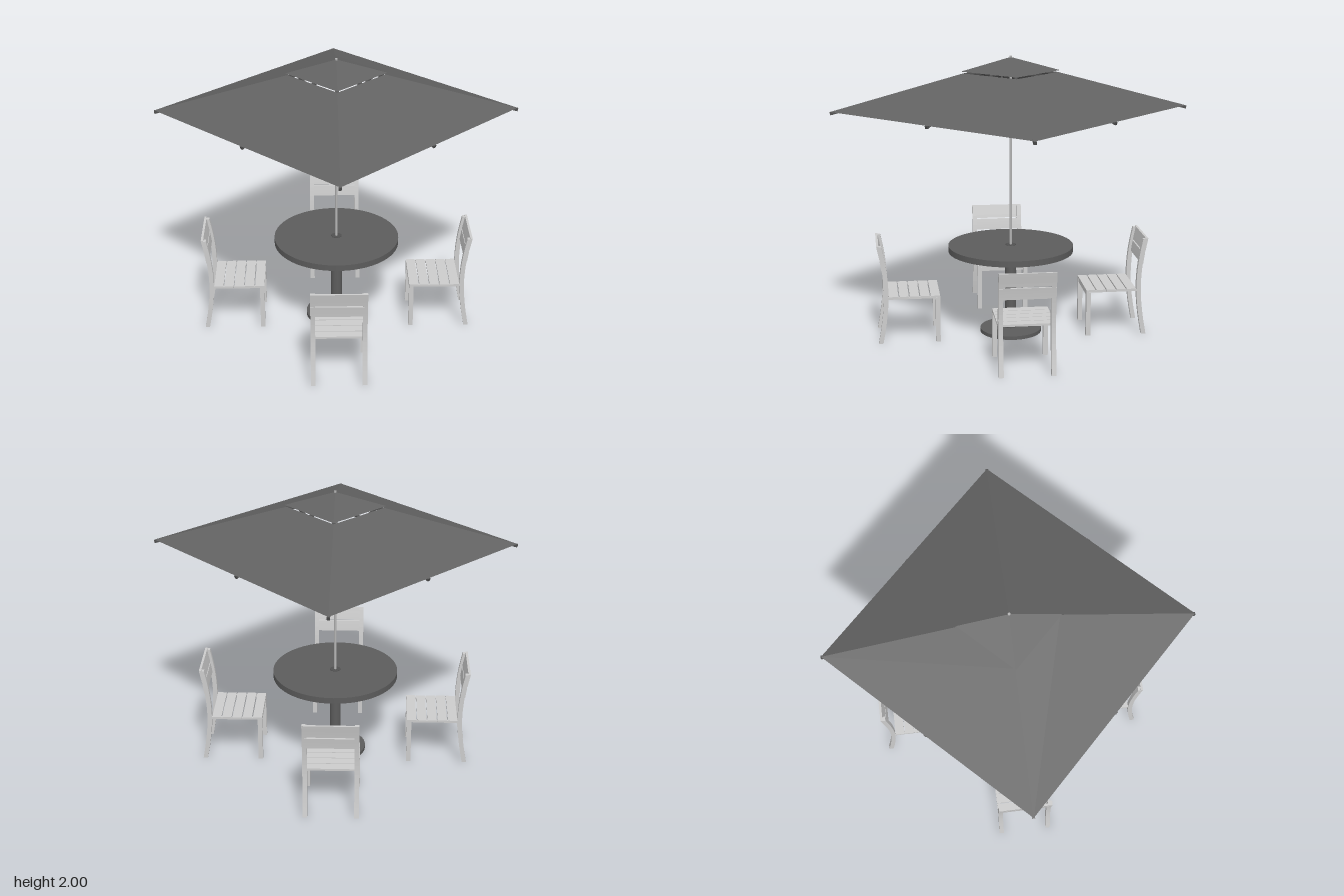
import * as THREE from 'three';

const mat = (name, color, side = THREE.FrontSide) => {
  const m = new THREE.MeshStandardMaterial({ color, side });
  m.name = name;
  return m;
};

export function createModel() {
  const model = new THREE.Group();
  model.name = 'patioSet';
  const fabric = mat('canopyGrey', 0x626262, THREE.DoubleSide);
  const dark = mat('tableGrey', 0x5c5c5c);
  const frame = mat('ribGrey', 0x505050);
  const light = mat('chairGrey', 0xcccccc);
  const metal = mat('poleGrey', 0xb4b4b4);

  const add = (parent, name, geo, material, x = 0, y = 0, z = 0) => {
    const mesh = new THREE.Mesh(geo, material);
    mesh.name = name;
    mesh.position.set(x, y, z);
    parent.add(mesh);
    return mesh;
  };
  const box = (parent, name, w, h, d, x, y, z) =>
    add(parent, name, new THREE.BoxGeometry(w, h, d), light, x, y, z);
  const disc = (parent, name, r, y0, y1, material, sides = 64) =>
    add(parent, name, new THREE.CylinderGeometry(r, r, y1 - y0, sides), material, 0, (y0 + y1) / 2, 0);
  // square bar between two points
  const bar = (parent, name, a, b, size) => {
    const mesh = add(parent, name, new THREE.BoxGeometry(size, size, a.distanceTo(b)), frame);
    mesh.position.addVectors(a, b).multiplyScalar(0.5);
    mesh.lookAt(b);
    return mesh;
  };

  // Table
  const table = new THREE.Group();
  table.name = 'table';
  model.add(table);
  disc(table, 'tableBase', 0.22, 0, 0.026, dark);
  disc(table, 'tableColumn', 0.04, 0.026, 0.602, dark, 32);
  disc(table, 'tableTop', 0.447, 0.602, 0.645, dark);
  disc(table, 'poleCollar', 0.038, 0.645, 0.648, frame, 32);

  // Umbrella
  const umbrella = new THREE.Group();
  umbrella.name = 'umbrella';
  model.add(umbrella);
  disc(umbrella, 'pole', 0.009, 0.64, 2, metal, 16);
  disc(umbrella, 'upperHub', 0.022, 1.9, 1.94, frame, 16);
  disc(umbrella, 'runner', 0.02, 1.61, 1.66, frame, 16);

  // Four-sided sloping cloth from a lower square to an upper one
  const cloth = (name, half0, y0, half1, y1) => {
    const pos = [];
    const corner = (k, h, y) => {
      const a = Math.PI / 4 + k * Math.PI / 2;
      return [Math.sin(a) * h * Math.SQRT2, y, Math.cos(a) * h * Math.SQRT2];
    };
    for (let k = 0; k < 4; k++) {
      const a = corner(k, half0, y0), b = corner(k + 1, half0, y0);
      const c = corner(k + 1, half1, y1), d = corner(k, half1, y1);
      pos.push(...a, ...b, ...c);
      if (half1 > 0) pos.push(...a, ...c, ...d);
    }
    const geo = new THREE.BufferGeometry();
    geo.setAttribute('position', new THREE.Float32BufferAttribute(pos, 3));
    geo.computeVertexNormals();
    return add(umbrella, name, geo, fabric);
  };
  cloth('canopy', 0.887, 1.63, 0.236, 1.882);
  cloth('ventCap', 0.246, 1.895, 0, 1.992);

  // Ribs and struts, towards corners and edge middles
  for (let k = 0; k < 8; k++) {
    const a = k * Math.PI / 4;
    const s = k % 2 ? Math.SQRT2 : 1;
    const at = (half, y) => new THREE.Vector3(Math.sin(a) * half * s, y, Math.cos(a) * half * s);
    bar(umbrella, 'rib', at(0.015, 1.952), at(0.887, 1.617), 0.02);
    bar(umbrella, 'strut', at(0.015, 1.64), at(0.43, 1.79), 0.013);
  }

  // Bent side profile of the chair back, as [distance outward, height]
  const bend = new THREE.CatmullRomCurve3([[0.943, 0], [0.922, 0.12], [0.906, 0.25], [0.901, 0.36],
    [0.907, 0.48], [0.923, 0.6], [0.945, 0.71]].map(([z, y]) => new THREE.Vector3(0, y, z)));
  const bendAt = (y) => {
    let lo = 0, hi = 1;
    for (let i = 0; i < 24; i++) {
      const mid = (lo + hi) / 2;
      if (bend.getPoint(mid).y < y) lo = mid; else hi = mid;
    }
    return bend.getPoint(lo).z;
  };
  // Piece that follows the bend between two heights
  const bentGeo = (width, y0, y1, inner, outer, steps) => {
    const inside = [], outside = [];
    for (let i = 0; i <= steps; i++) {
      const y = y0 + (y1 - y0) * i / steps;
      outside.push(new THREE.Vector2(bendAt(y) + outer, y));
      inside.unshift(new THREE.Vector2(bendAt(y) + inner, y));
    }
    const geo = new THREE.ExtrudeGeometry(new THREE.Shape([...outside, ...inside]),
      { depth: width, bevelEnabled: false });
    return geo.translate(0, 0, -width / 2).rotateY(-Math.PI / 2);
  };
  const legGeo = bentGeo(0.032, 0, 0.705, -0.017, 0.015, 20);
  const lowSlat = bentGeo(0.382, 0.525, 0.604, 0.002, 0.018, 4);
  const topSlat = bentGeo(0.382, 0.614, 0.71, 0.002, 0.018, 4);

  // Four chairs on the diagonals, facing the table
  for (let k = 0; k < 4; k++) {
    const chair = new THREE.Group();
    chair.name = 'chair';
    chair.rotation.y = Math.PI / 4 + k * Math.PI / 2;
    model.add(chair);
    for (const side of [-1, 1]) {
      add(chair, 'backLeg', legGeo, light, side * 0.175);
      box(chair, 'frontLeg', 0.032, 0.325, 0.032, side * 0.175, 0.1625, 0.538);
      box(chair, 'sideRail', 0.02, 0.014, 0.36, side * 0.175, 0.327, 0.72);
    }
    box(chair, 'frontRail', 0.35, 0.026, 0.028, 0, 0.312, 0.538);
    add(chair, 'lowerBackSlat', lowSlat, light);
    add(chair, 'upperBackSlat', topSlat, light);
    for (let i = 0; i < 5; i++) {
      box(chair, 'seatSlat', 0.382, 0.015, 0.066, 0, 0.333, 0.555 + i * 0.0735);
    }
  }
  return model;
}
